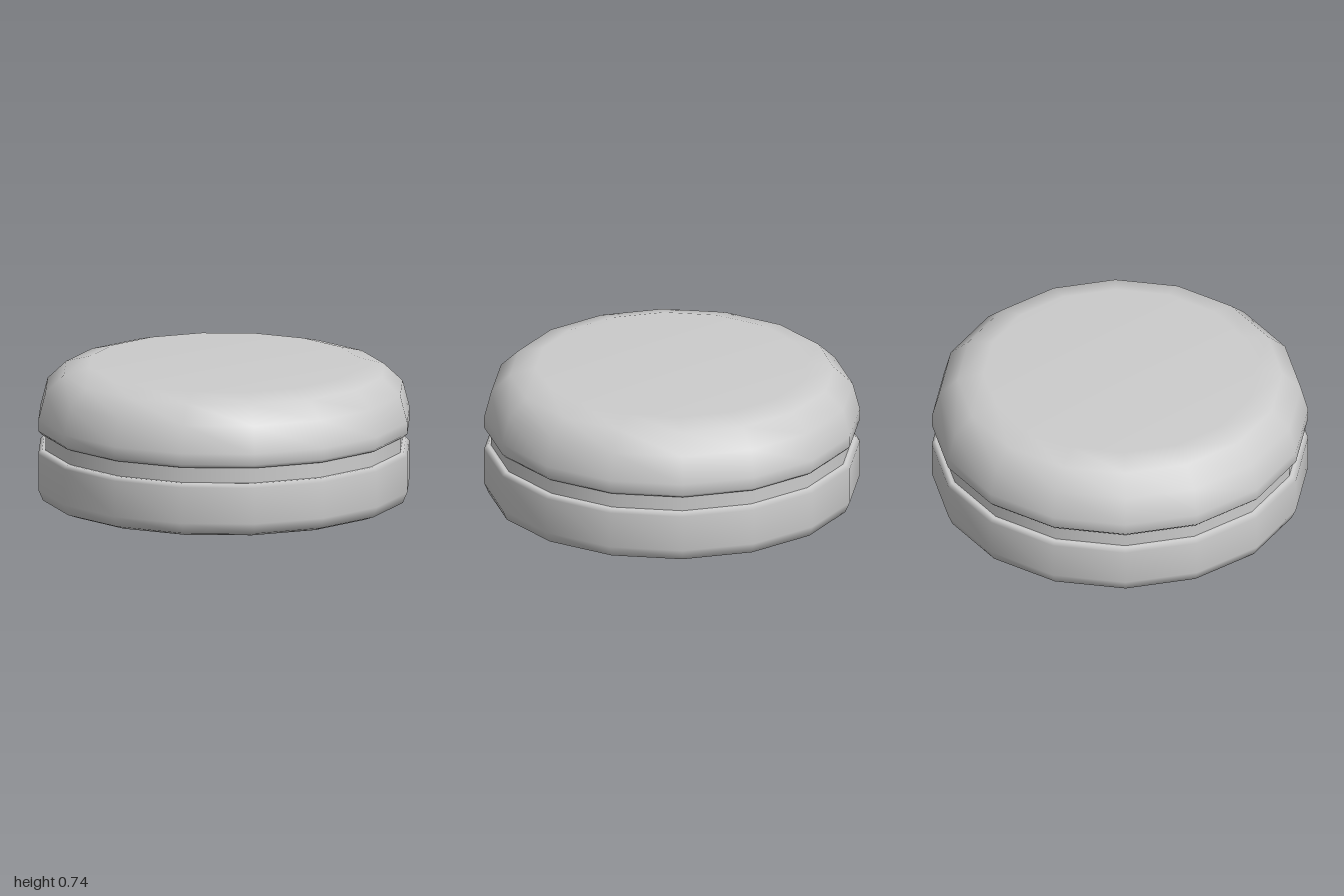
import * as THREE from 'three';

const SIDES = 16;

export function createModel() {
  const group = new THREE.Group();
  group.name = 'roundPuck';
  const grey = new THREE.MeshStandardMaterial({ name: 'light grey', color: 0xcccccc });

  // Turn a radius/height profile, running from bottom to top, around the y axis
  const turn = (name, profile) => {
    const points = profile.map(([r, y]) => new THREE.Vector2(r, y));
    const mesh = new THREE.Mesh(new THREE.LatheGeometry(points, SIDES), grey);
    mesh.name = name;
    group.add(mesh);
  };

  // Base disc with a bevelled foot and a slightly rounded upper rim
  turn('base', [
    [0, 0], [0.915, 0], [0.975, 0.022], [1, 0.08],
    [1, 0.275], [0.98, 0.295], [0.9, 0.295],
  ]);

  // Recessed band between the two halves
  turn('grooveBand', [[0.962, 0.29], [0.962, 0.385]]);

  // Domed cap with a flat top
  turn('cap', [
    [0.9, 0.38], [0.98, 0.38], [1, 0.4], [1, 0.46],
    [0.962, 0.605], [0.862, 0.7], [0.725, 0.737], [0, 0.737],
  ]);

  return group;
}
